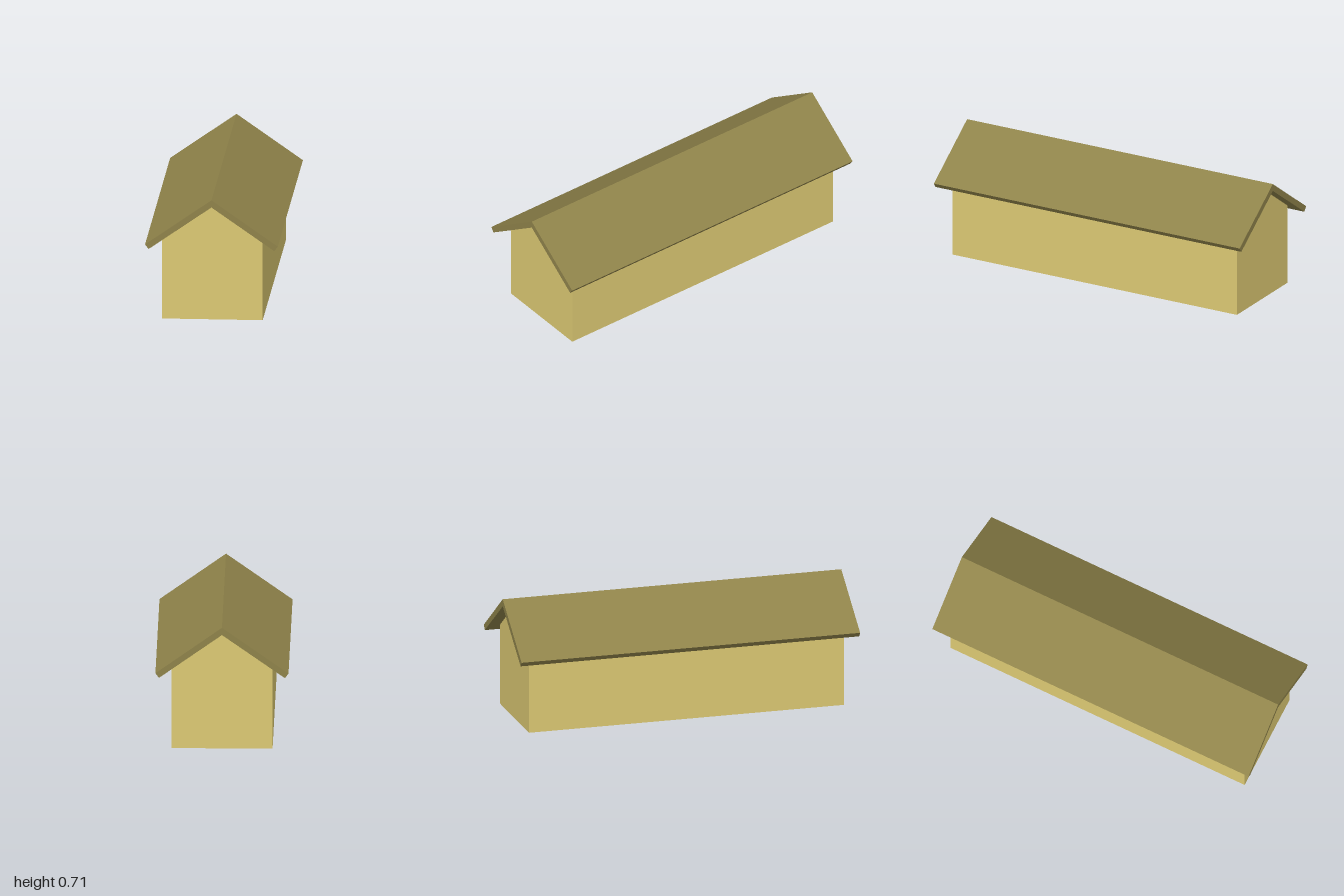
import * as THREE from 'three';

// Extrude a mirrored outline along z, centred on z = 0
function prism(name, points, length, color) {
  const shape = new THREE.Shape(points.map(([x, y]) => new THREE.Vector2(x, y)));
  const geometry = new THREE.ExtrudeGeometry(shape, { depth: length, bevelEnabled: false });
  geometry.translate(0, 0, -length / 2);
  const mesh = new THREE.Mesh(geometry, new THREE.MeshStandardMaterial({ color }));
  mesh.name = name;
  return mesh;
}

export function createModel() {
  const group = new THREE.Group();
  group.name = 'gabledBuilding';

  // Long walls and gable ends
  group.add(prism('walls', [
    [-0.286, 0], [0.286, 0], [0.286, 0.471], [0, 0.671], [-0.286, 0.471],
  ], 1.86, 0xdcc973));

  // Two roof slabs, mitred at the ridge and overhanging all round
  for (const [name, s] of [['leftRoof', 1], ['rightRoof', -1]]) {
    group.add(prism(name, [
      [0, 0.671], [s * 0.357, 0.422], [s * 0.377, 0.449], [0, 0.713],
    ], 2, 0x8f834a));
  }

  // Grey floor slab set just inside the wall line
  const floor = new THREE.Mesh(
    new THREE.BoxGeometry(0.545, 0.02, 1.833),
    new THREE.MeshStandardMaterial({ color: 0x808080 }),
  );
  floor.name = 'floor';
  floor.position.y = 0.009;
  group.add(floor);

  return group;
}
